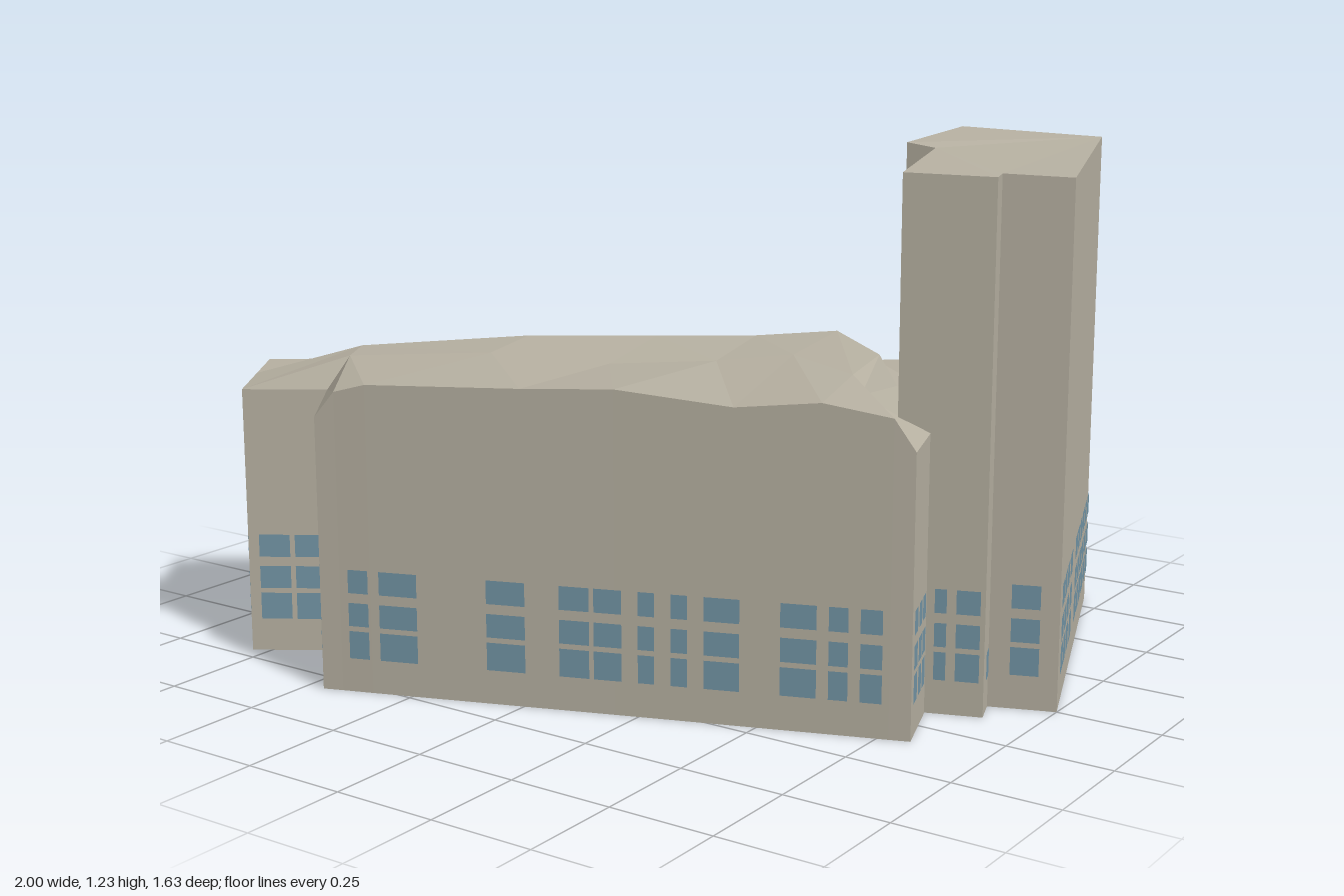
import * as THREE from 'three';

const wallMat = new THREE.MeshStandardMaterial({ color: 0xb6b0a1, side: THREE.DoubleSide, flatShading: true });
wallMat.name = 'stone';
const glassMat = new THREE.MeshStandardMaterial({ color: 0x7294a5, side: THREE.DoubleSide, flatShading: true });
glassMat.name = 'glass';

// Mesh from a list of triangles, each three [x, y, z] corners
function triMesh(tris, mat, name) {
  const g = new THREE.BufferGeometry();
  g.setAttribute('position', new THREE.Float32BufferAttribute(tris.flat(2), 3));
  g.computeVertexNormals();
  const m = new THREE.Mesh(g, mat);
  m.name = name;
  return m;
}
const quad = (a, b, c, d) => [[a, b, c], [a, c, d]];

// Upright walls along a path of [x, topY, z]
function walls(path) {
  const tris = [];
  for (let i = 0; i + 1 < path.length; i++) {
    const a = path[i], b = path[i + 1];
    tris.push(...quad([a[0], 0, a[2]], [b[0], 0, b[2]], b, a));
  }
  return tris;
}

// Window panes: spans are [start, end] fractions along the wall from a to b
const rows = [[0.08, 0.145], [0.157, 0.212], [0.235, 0.29]];
function panes(a, b, spans, levels = rows) {
  const dx = b[0] - a[0], dz = b[2] - a[2], len = Math.hypot(dx, dz);
  const ox = -dz / len * 0.003, oz = dx / len * 0.003;
  const at = (t, y) => [a[0] + dx * t + ox, y, a[2] + dz * t + oz];
  return spans.flatMap(([s, e]) => levels.flatMap(([y0, y1]) =>
    quad(at(s, y0), at(e, y0), at(e, y1), at(s, y1))));
}
// Spans from coordinates measured along one axis
const along = (p, q, list) => list.map(([s, e]) => [(s - p) / (q - p), (e - p) / (q - p)]);
// Evenly spaced spans
const even = (n, s = 0.02, e = 0.98, gap = 0.14) => Array.from({ length: n }, (_, i) => {
  const w = (e - s) / n;
  return [s + w * (i + gap / 2), s + w * (i + 1 - gap / 2)];
});

// Hall roof cross-sections from west to east, each running from back to front
const sections = [
  [[-1, 0.645, 0.41], [-0.9, 0.645, 0.553], [-0.79, 0.645, 0.71], [-0.62, 0.645, 0.6], [-0.455, 0.64, 0.815]],
  [[-0.7, 0.645, 0.185], [-0.66, 0.655, 0.25], [-0.7, 0.71, 0.39], [-0.6, 0.72, 0.54], [-0.41, 0.70, 0.798]],
  [[-0.45, 0.645, -0.002], [-0.4, 0.66, 0.04], [-0.38, 0.73, 0.14], [-0.3, 0.735, 0.38], [-0.34, 0.72, 0.773]],
  [[-0.2, 0.645, -0.19], [-0.15, 0.66, -0.12], [-0.12, 0.73, -0.04], [-0.05, 0.715, 0.25], [0, 0.73, 0.647]],
  [[0, 0.645, -0.34], [0.04, 0.66, -0.22], [0.08, 0.73, -0.18], [0.15, 0.72, 0.1], [0.2, 0.74, 0.573]],
  [[0.16, 0.645, -0.46], [0.25, 0.66, -0.36], [0.24, 0.74, -0.3], [0.3, 0.735, 0], [0.45, 0.715, 0.481]],
  [[0.21, 0.645, -0.41], [0.33, 0.66, -0.36], [0.44, 0.725, -0.16], [0.52, 0.73, 0.1], [0.63, 0.735, 0.415]],
  [[0.41, 0.645, -0.56], [0.46, 0.65, -0.27], [0.5, 0.66, -0.14], [0.6, 0.71, 0.2], [0.775, 0.71, 0.362]],
  [[0.41, 0.645, -0.55], [0.48, 0.645, -0.2], [0.55, 0.645, -0.2], [0.76, 0.64, 0.175], [0.82, 0.64, 0.345]],
];

function buildHall() {
  const g = new THREE.Group();
  g.name = 'hall';
  const west = sections[0], east = sections[8];
  const front = sections.map(s => s[4]);
  const back = sections.map(s => s[0]).reverse();
  g.add(triMesh(walls([...west, ...front.slice(1), east[3]]), wallMat, 'hallFrontAndSideWalls'));
  g.add(triMesh(walls(back), wallMat, 'hallBackWall'));

  // Folded roof
  const roof = [];
  for (let i = 0; i < 8; i++) for (let j = 0; j < 4; j++) {
    const s = sections[i], t = sections[i + 1];
    roof.push(...quad(s[j], s[j + 1], t[j + 1], t[j]));
  }
  g.add(triMesh(roof, wallMat, 'hallRoof'));

  // Windows
  const frontSpans = [[-0.39, -0.345], [-0.32, -0.235], [-0.08, 0.005], [0.08, 0.145], [0.155, 0.215], [0.25, 0.285],
    [0.32, 0.355], [0.39, 0.465], [0.55, 0.625], [0.65, 0.69], [0.715, 0.76]];
  g.add(triMesh([
    ...panes(west[4], east[4], along(-0.455, 0.82, frontSpans)),
    ...panes(west[0], west[2], even(4)),
    ...panes(west[2], west[3], even(2, 0.1, 0.95)),
    ...panes(west[3], west[4], even(3, 0.04, 0.94)),
    ...panes(east[4], east[3], along(0.345, 0.175, [[0.335, 0.295], [0.28, 0.245], [0.235, 0.2]])),
    ...panes(sections[5][0], west[0], even(15, 0.01, 0.99)),
    ...panes(sections[7][0], sections[6][0], even(2, 0.08, 0.9)),
  ], glassMat, 'hallWindows'));
  return g;
}

function buildTower() {
  const g = new THREE.Group();
  g.name = 'tower';
  const p = [[0.69, 1.205, 0.195], [0.88, 1.2, 0.125], [0.855, 1.2, 0.055], [1, 1.195, 0], [0.69, 1.2, -0.82],
    [0.36, 1.218, -0.705], [0.48, 1.225, -0.2], [0.55, 1.215, -0.21]];
  g.add(triMesh(walls(p.slice(0, 5)), wallMat, 'towerEastWalls'));
  g.add(triMesh(walls([...p.slice(5), p[0]]), wallMat, 'towerWestWalls'));

  // End wall, split diagonally into glass and stone
  const a = p[4], b = p[5], a0 = [a[0], 0, a[2]], b0 = [b[0], 0, b[2]];
  g.add(triMesh([[a0, b0, b]], wallMat, 'towerEndWall'));
  g.add(triMesh([[a0, b, a]], glassMat, 'towerEndGlazing'));

  // Roof
  const faces = THREE.ShapeUtils.triangulateShape(p.map(v => new THREE.Vector2(v[0], -v[2])), []);
  g.add(triMesh(faces.map(f => f.map(i => p[i])), wallMat, 'towerRoof'));

  // Windows
  const eastSpans = [[-0.02, -0.08], [-0.09, -0.145], [-0.16, -0.215], [-0.24, -0.3], [-0.385, -0.45],
    [-0.46, -0.515], [-0.53, -0.59], [-0.6, -0.665], [-0.68, -0.735], [-0.75, -0.81]];
  g.add(triMesh([
    ...panes(p[0], p[1], along(0.69, 0.88, [[0.775, 0.8], [0.82, 0.87]])),
    ...panes(p[1], p[2], [[0.25, 0.75]], rows.slice(0, 1)),
    ...panes(p[2], p[3], along(0.855, 1, [[0.9, 0.96]])),
    ...panes(p[3], p[4], along(0, -0.82, eastSpans)),
    ...panes(a, b, [[0.05, 0.2], [0.24, 0.4], [0.44, 0.62], [0.72, 0.92]]),
    ...panes(b, p[6], [[0.04, 0.13], [0.16, 0.26]]),
  ], glassMat, 'towerWindows'));
  return g;
}

export function createModel() {
  const model = new THREE.Group();
  model.name = 'building';
  model.add(buildHall(), buildTower());
  return model;
}
